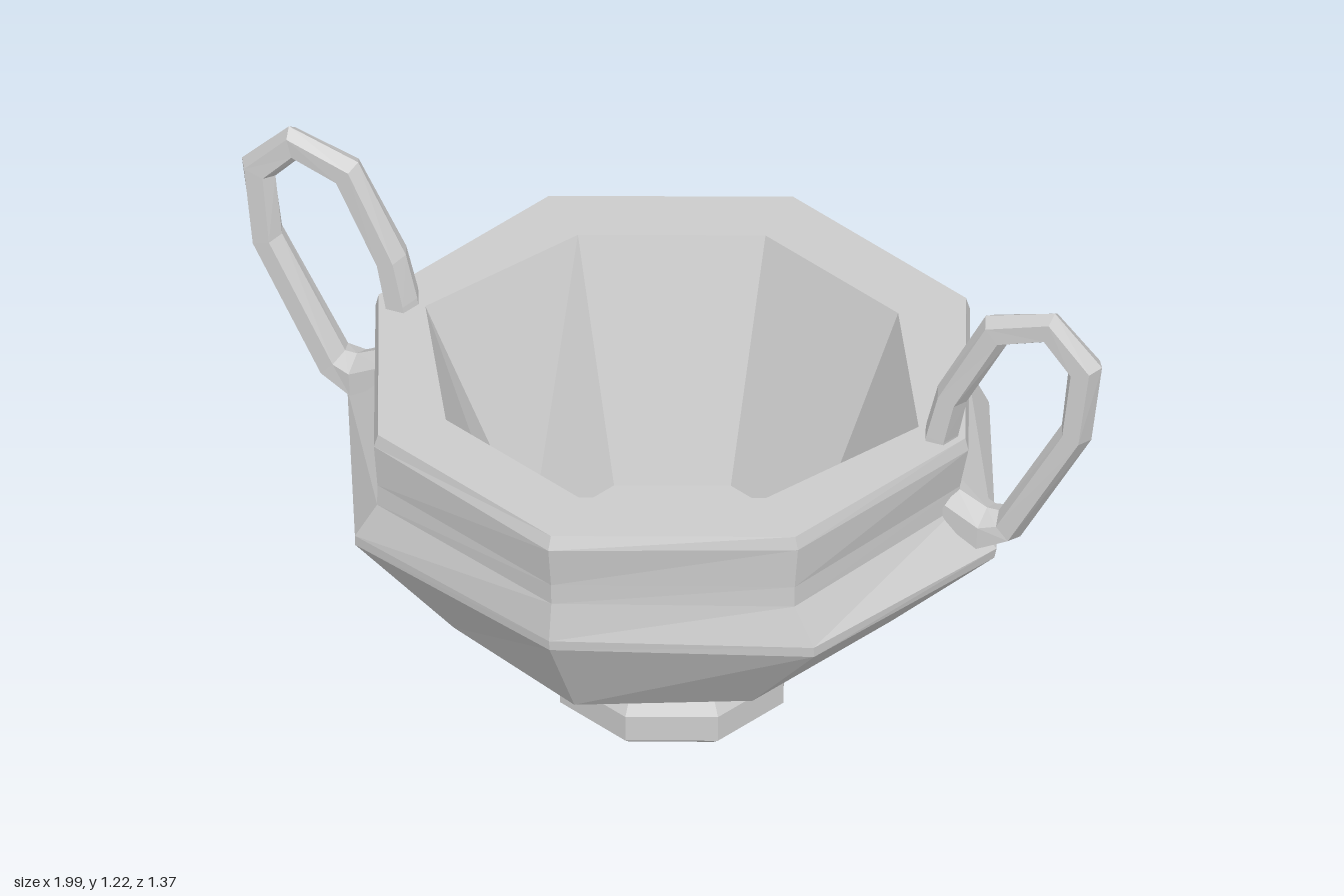
import * as THREE from 'three';

const material = new THREE.MeshStandardMaterial({ color: 0xcccccc, flatShading: true });

// Joins rings of equal point count (counter-clockwise seen from the far end) and caps both ends
function loft(name, rings) {
  const pos = [];
  const tri = (a, b, c) => pos.push(...a, ...b, ...c);
  const n = rings[0].length;
  for (let i = 0; i < rings.length - 1; i++) {
    for (let j = 0; j < n; j++) {
      const k = (j + 1) % n;
      const a = rings[i][j], b = rings[i][k], c = rings[i + 1][k], d = rings[i + 1][j];
      tri(a, b, c);
      tri(a, c, d);
    }
  }
  const first = rings[0], last = rings[rings.length - 1];
  for (let j = 1; j < n - 1; j++) {
    tri(first[0], first[j + 1], first[j]);
    tri(last[0], last[j], last[j + 1]);
  }
  const geo = new THREE.BufferGeometry();
  geo.setAttribute('position', new THREE.Float32BufferAttribute(pos, 3));
  geo.computeVertexNormals();
  const mesh = new THREE.Mesh(geo, material);
  mesh.name = name;
  return mesh;
}

// Eight-sided ring: x and z corner radii plus the diagonal corner (dx, dz)
const octagon = ([y, rx, rz = rx, dx = rx * Math.SQRT1_2, dz = rz * Math.SQRT1_2]) => [
  [rx, y, 0], [dx, y, -dz], [0, y, -rz], [-dx, y, -dz],
  [-rx, y, 0], [-dx, y, dz], [0, y, rz], [dx, y, dz],
];

// Handle: hexagonal section swept along a path in the xy plane
function createHandle(name) {
  // x, y, half width in the plane, half depth in z
  const path = [
    [0.615, 0.76, 0.038, 0.045],
    [0.625, 0.84, 0.037, 0.042],
    [0.648, 0.94, 0.035, 0.038],
    [0.75, 1.135, 0.036, 0.03],
    [0.875, 1.175, 0.035, 0.025],
    [0.955, 1.09, 0.037, 0.03],
    [0.935, 0.918, 0.035, 0.036],
    [0.78, 0.635, 0.035, 0.043],
    [0.725, 0.612, 0.045, 0.05],
    [0.64, 0.66, 0.04, 0.05],
  ];
  const section = [[1, 0], [0.55, 1], [-0.55, 1], [-1, 0], [-0.55, -1], [0.55, -1]];
  const unit = (a, b) => new THREE.Vector2(b[0] - a[0], b[1] - a[1]).normalize();
  const rings = path.map((p, i) => {
    const before = unit(path[Math.max(i - 1, 0)], path[Math.max(i, 1)]);
    const after = unit(path[Math.min(i, path.length - 2)], path[Math.min(i + 1, path.length - 1)]);
    const t = before.clone().add(after).normalize();
    const miter = 1 / Math.max(t.dot(after), 0.75);
    // the outward normal lies to the left of the direction of travel
    return section.map(([s, d]) => [
      p[0] - t.y * s * p[2] * miter,
      p[1] + t.x * s * p[2] * miter,
      -d * p[3],
    ]).reverse();
  });
  return loft(name, rings);
}

export function createModel() {
  const group = new THREE.Group();
  group.name = 'twoHandledBowl';

  // Foot
  group.add(loft('foot', [
    [0, 0.235], [0.018, 0.258], [0.08, 0.258], [0.13, 0.225],
  ].map(octagon)));

  // Bowl: outside from the foot up, over the rim, then down the inside to the floor
  group.add(loft('bowl', [
    [0.128, 0.23, 0.23, 0.16, 0.16],
    [0.3, 0.505, 0.54, 0.345, 0.38],
    [0.535, 0.745, 0.677, 0.53, 0.483],
    [0.56, 0.75, 0.68, 0.53, 0.485],
    [0.65, 0.665, 0.667, 0.482, 0.477],
    [0.7, 0.665, 0.669, 0.482, 0.475],
    [0.8, 0.685, 0.684, 0.49, 0.476],
    [0.83, 0.678, 0.67, 0.482, 0.472],
    [0.83, 0.57, 0.517, 0.37, 0.365],
    [0.3, 0.325, 0.325, 0.23, 0.23],
  ].map(octagon)));

  // Handles, one on each side
  const left = createHandle('leftHandle');
  const right = createHandle('rightHandle');
  right.rotation.y = Math.PI;
  group.add(left, right);
  return group;
}
